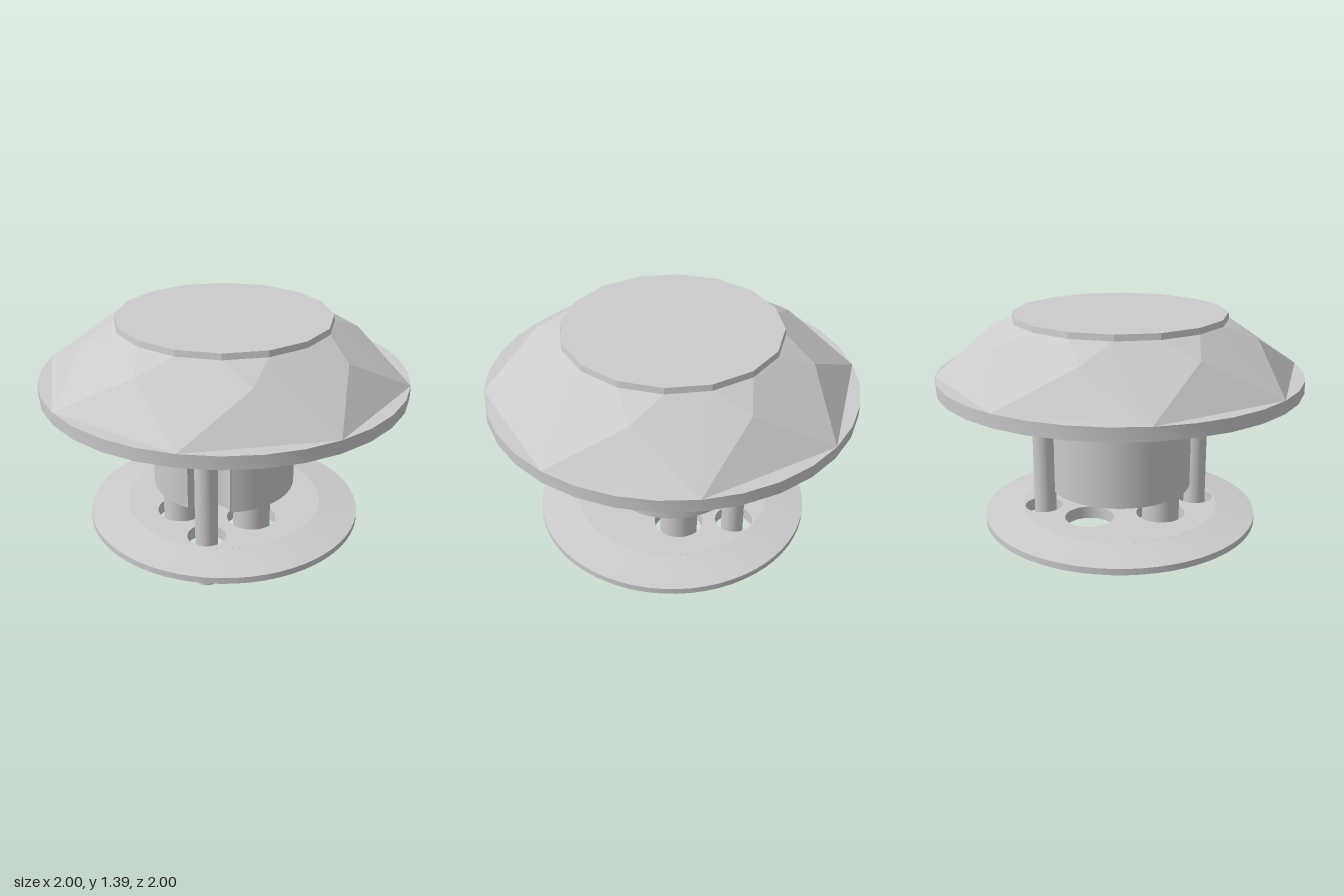
import * as THREE from 'three';
import { toCreasedNormals } from 'three/addons/utils/BufferGeometryUtils.js';

const material = new THREE.MeshStandardMaterial({ color: 0xcccccc });

function add(group, name, geometry, x = 0, y = 0, z = 0) {
  const mesh = new THREE.Mesh(geometry, material);
  mesh.name = name;
  mesh.position.set(x, y, z);
  group.add(mesh);
}

// Surface of revolution with sharp profile corners; profile is [radius, y] pairs
function lathe(profile, segments) {
  const points = profile.map(([r, y]) => new THREE.Vector2(r, y));
  return toCreasedNormals(new THREE.LatheGeometry(points, segments), 0.45);
}

// Flat outline raised along y from zero
function raise(shape, height) {
  const g = new THREE.ExtrudeGeometry(shape, { depth: height, bevelEnabled: false, curveSegments: 32 });
  return toCreasedNormals(g.rotateX(-Math.PI / 2), 0.45);
}

// Gem-cut crown: eight pentagons, sixteen triangles and a 16-sided table
function crownGeometry() {
  const positions = [];
  const at = (r, y, step) => {
    const a = step * Math.PI / 16;
    return [r * Math.sin(a), y, r * Math.cos(a)];
  };
  const face = (...p) => {
    for (let i = 1; i < p.length - 1; i++) positions.push(...p[0], ...p[i], ...p[i + 1]);
  };
  const girdle = s => at(1, 1.07, s);
  const middle = s => at(0.747, 1.278, s);
  const shoulder = s => at(0.587, 1.36, s);
  const table = s => at(0.582, 1.392, s);
  for (let s = 0; s < 32; s += 4) {
    face(girdle(s), middle(s + 2), shoulder(s + 1), shoulder(s - 1), middle(s - 2));
    face(girdle(s), girdle(s + 4), middle(s + 2));
    face(middle(s + 2), shoulder(s + 3), shoulder(s + 1));
  }
  for (let s = 1; s < 32; s += 2) {
    face(shoulder(s), shoulder(s + 2), table(s + 2), table(s));
    face([0, 1.392, 0], table(s), table(s + 2));
  }
  const g = new THREE.BufferGeometry();
  g.setAttribute('position', new THREE.Float32BufferAttribute(positions, 3));
  g.computeVertexNormals();
  return g;
}

// Round core with a concave notch at front and back for the screws
function coreShape() {
  const t = Math.atan2(0.3826, 0.117), n = Math.atan2(0.0574, 0.117);
  const shape = new THREE.Shape();
  shape.absarc(0, 0, 0.4, -t, t, false);
  shape.absarc(0, 0.44, 0.13, -n, -Math.PI + n, true);
  shape.absarc(0, 0, 0.4, Math.PI - t, Math.PI + t, false);
  shape.absarc(0, -0.44, 0.13, Math.PI - n, n, true);
  return shape;
}

// Flat middle of the plate, pierced for pins and screws
function plateShape() {
  const shape = new THREE.Shape();
  shape.absarc(0, 0, 0.555, 0, Math.PI * 2, false);
  const hole = (x, y, r) => shape.holes.push(new THREE.Path().absarc(x, y, r, 0, Math.PI * 2, true));
  for (const s of [-1, 1]) {
    hole(0, s * 0.44, 0.105);
    for (const q of [-1, 1]) hole(s * 0.2, q * 0.2, 0.135);
  }
  return shape;
}

export function createModel() {
  const model = new THREE.Group();
  model.name = 'facetedKnob';

  // Cap: gem-cut top over a shallow hollow rim
  const cap = new THREE.Group();
  cap.name = 'cap';
  model.add(cap);
  add(cap, 'crown', crownGeometry());
  add(cap, 'rim', lathe([[0, 1.12], [0.77, 1.12], [0.97, 1], [1, 1], [1, 1.07], [0.9, 1.07]], 32));
  add(cap, 'skirt', lathe([[0.53, 1.12], [0.53, 0.89], [0.56, 0.89], [0.77, 1.045], [0.77, 1.12]], 64));

  // Notched core below the cap
  add(model, 'core', raise(coreShape(), 0.7), 0, 0.41, 0);

  // Base plate with sloping border
  const plate = new THREE.Group();
  plate.name = 'basePlate';
  model.add(plate);
  add(plate, 'plateCentre', raise(plateShape(), 0.07), 0, 0.215, 0);
  add(plate, 'plateBorder', lathe([[0.553, 0.215], [0.77, 0.215], [0.77, 0.25], [0.553, 0.285]], 64));

  // Three thick pins; the fourth hole stays empty
  for (const [x, z] of [[0.2, 0.2], [0.2, -0.2], [-0.2, 0.2]]) {
    add(model, 'pin', lathe([[0, 0.15], [0.103, 0.15], [0.103, 0.5]], 32), x, 0, z);
  }

  // Two long screws with wide heads under the cap
  for (const z of [0.44, -0.43]) {
    add(model, 'screw', lathe([
      [0, 0], [0.062, 0], [0.062, 0.83], [0.088, 0.83], [0.098, 0.845],
      [0.098, 0.94], [0.062, 0.94], [0.062, 1.12]], 32), 0, 0, z);
  }
  return model;
}
